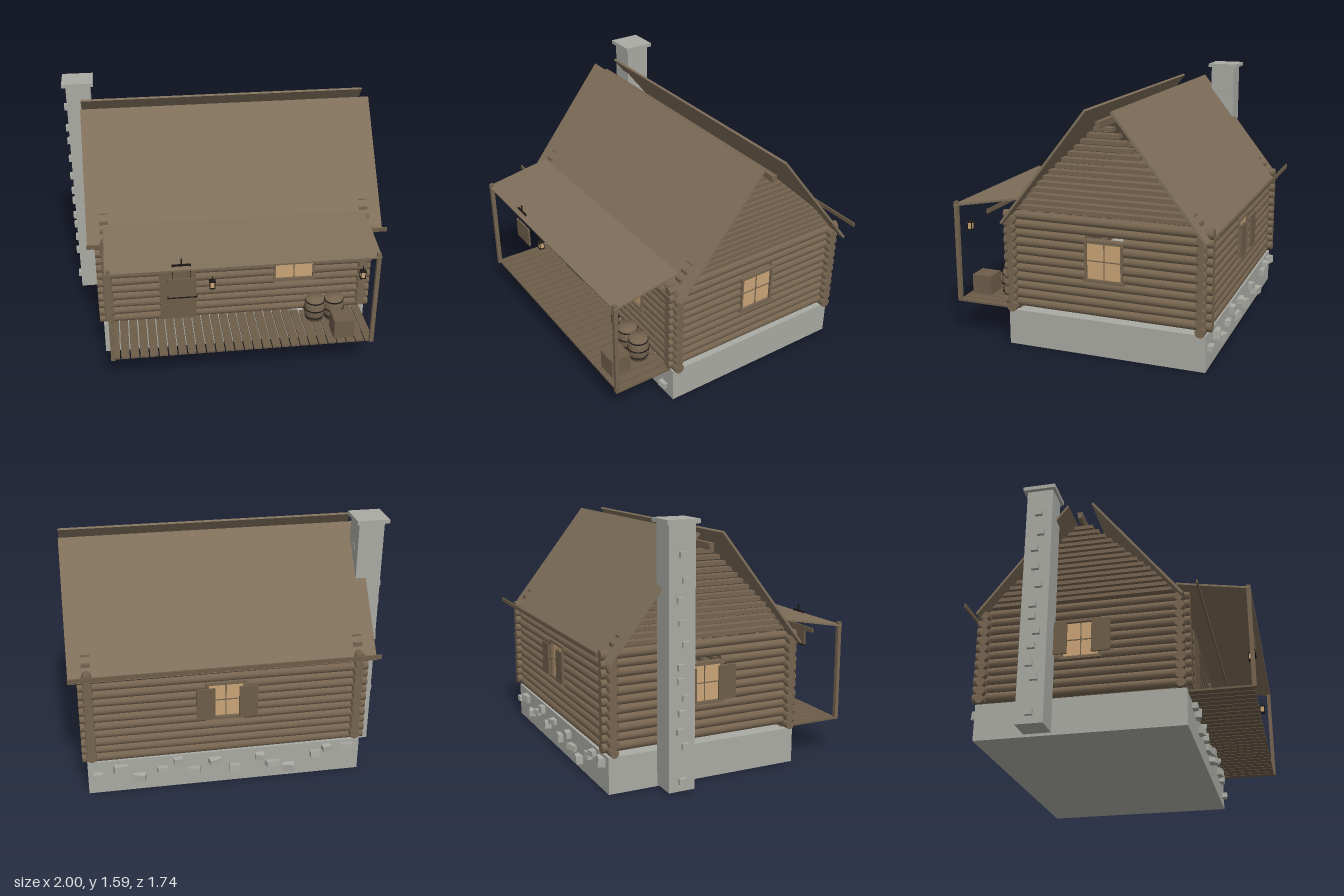
import * as THREE from 'three';

const mat = (name, color, side = THREE.FrontSide) => {
  const m = new THREE.MeshStandardMaterial({ color, side });
  m.name = name;
  return m;
};

export function createModel() {
  const stone = mat('stone', 0xaaaaa4);
  const logWood = mat('log wood', 0x75644f);
  const roofWood = mat('roof wood', 0x7f6f5a);
  const plankWood = mat('plank wood', 0x6d5d49);
  const iron = mat('iron', 0x1c1816);
  const glass = mat('warm glass', 0xc9a476);

  const model = new THREE.Group();
  model.name = 'logCabin';
  const group = (name, parent = model) => {
    const g = new THREE.Group();
    g.name = name;
    parent.add(g);
    return g;
  };
  const add = (parent, name, geometry, material, x, y, z) => {
    const m = new THREE.Mesh(geometry, material);
    m.name = name;
    m.position.set(x, y, z);
    parent.add(m);
    return m;
  };
  const box = (parent, name, material, w, h, d, x, y, z) =>
    add(parent, name, new THREE.BoxGeometry(w, h, d), material, x, y, z);

  const CX = 0.06, CZ = -0.147;            // centre of the house
  const LEFT = 0.89, RIGHT = -0.77;        // side wall centre lines
  const FRONT = 0.45, BACK = -0.745;       // front and back wall centre lines

  // Stone foundation with proud fieldstones on the front and back
  const base = group('foundation');
  box(base, 'foundationBlock', stone, 1.73, 0.225, 1.255, 0.055, 0.1125, -0.147);
  const frontStones = [[-0.6, 0.19], [-0.47, 0.19], [-0.36, 0.125], [-0.24, 0.19], [-0.125, 0.165], [0, 0.135],
    [0.125, 0.1], [0.235, 0.195], [0.34, 0.17], [0.465, 0.21], [0.58, 0.165], [0.715, 0.155], [0.83, 0.07]];
  const backStones = [[0.86, 0.135], [0.72, 0.17], [0.6, 0.1], [0.46, 0.14], [0.36, 0.19], [0.26, 0.11], [0.13, 0.17],
    [0, 0.1], [-0.16, 0.17], [-0.24, 0.11], [-0.35, 0.07], [-0.52, 0.15], [-0.59, 0.19], [-0.72, 0.18]];
  [[frontStones, 0.485], [backStones, -0.78]].forEach(([list, z]) => list.forEach(([x, y], i) => {
    const s = box(base, 'fieldstone', stone, 0.055 + 0.028 * ((i * 7) % 4) / 3, 0.035 + 0.016 * ((i * 5) % 3) / 2, 0.055, x, y, z);
    s.rotation.set(0.1 * Math.sin(i * 3), 0.3 * Math.sin(i * 2.3), 0.06 * Math.sin(i));
  }));

  // Chimney
  const chimney = group('chimney');
  box(chimney, 'chimneyStack', stone, 0.16, 1.56, 0.165, -0.895, 0.795, -0.385);
  box(chimney, 'chimneyCap', stone, 0.205, 0.025, 0.205, -0.8975, 1.582, -0.387);
  [0.08, 0.29, 0.38, 0.49, 0.58, 0.68, 0.76, 0.89, 1.015, 1.145, 1.256, 1.4].forEach((y, i) =>
    box(chimney, 'chimneyStone', stone, 0.04, 0.036, 0.045, -0.977, y, -0.385 + 0.02 * Math.sin(i * 2)));
  [1.27, 1.395].forEach(y => box(chimney, 'chimneyStone', stone, 0.02, 0.035, 0.045, -0.822, y, -0.385));

  // Log walls: each row is cut around the openings of its wall
  const ROWS = 11, STEP = 0.055;
  const log = (parent, along, a, b, offset, y, i) => {
    const r = i % 2 ? [0.031, 0.027] : [0.027, 0.031];
    const m = add(parent, 'log', new THREE.CylinderGeometry(r[0], r[1], b - a, 12), logWood, 0, y, 0);
    if (along === 'x') {
      m.rotation.z = Math.PI / 2;
      m.position.set((a + b) / 2, y, offset);
    } else {
      m.rotation.x = Math.PI / 2;
      m.position.set(offset, y, (a + b) / 2);
    }
  };
  const wall = (name, along, a, b, offset, y0, openings) => {
    const g = group(name);
    for (let i = 0; i < ROWS; i++) {
      const y = y0 + i * STEP;
      let start = a;
      openings.filter(o => y > o.y0 && y < o.y1).forEach(o => {
        log(g, along, start, o.a, offset, y, i);
        start = o.b;
      });
      log(g, along, start, b, offset, y, i);
    }
  };
  const sideHole = { a: -0.268, b: -0.03, y0: 0.465, y1: 0.735 };
  const backHole = { a: CX - 0.12, b: CX + 0.12, y0: 0.465, y1: 0.735 };
  const frontHole = { a: 0.305, b: 0.572, y0: 0.465, y1: 0.735 };
  const doorHole = { a: -0.44, b: -0.205, y0: 0, y1: 0.77 };
  wall('frontWall', 'x', -0.835, 0.948, FRONT, 0.252, [doorHole, frontHole]);
  wall('backWall', 'x', -0.835, 0.948, BACK, 0.252, [backHole]);
  wall('leftWall', 'z', -0.805, 0.507, LEFT, 0.277, [sideHole]);
  wall('rightWall', 'z', -0.805, 0.507, RIGHT, 0.277, [sideHole]);

  // Stepped gable boards, open between the rows
  [LEFT, RIGHT].forEach(x => {
    const g = group('gable');
    for (let i = 0; i < 14; i++)
      box(g, 'gableBoard', logWood, 0.055, 0.024, 2 * (0.585 - 0.0405 * i), x, 0.882 + 0.0386 * i, -0.149);
  });

  // Windows: glass, muntins, frame and optional shutters, built facing +z
  const windowUnit = (x, z, turn, w, shutters) => {
    const g = group('window');
    g.position.set(x, 0.595, z);
    g.rotation.y = turn;
    box(g, 'pane', glass, w - 0.012, 0.225, 0.012, 0, 0, 0);
    box(g, 'verticalMuntin', logWood, 0.006, 0.225, 0.02, 0, 0, 0);
    box(g, 'horizontalMuntin', logWood, w - 0.012, 0.006, 0.02, 0, 0, 0);
    [-1, 1].forEach(s => {
      box(g, 'frameSide', logWood, 0.012, 0.25, 0.045, s * (w / 2 - 0.004), 0, 0);
      box(g, 'frameRail', logWood, w + 0.02, 0.018, 0.05, 0, s * 0.12, 0);
      if (shutters) box(g, 'shutter', plankWood, 0.115, 0.21, 0.012, s * 0.132, 0, 0.048);
    });
  };
  windowUnit(0.438, FRONT + 0.012, 0, 0.265, false);
  windowUnit(CX - 0.005, BACK - 0.012, Math.PI, 0.235, true);
  windowUnit(LEFT + 0.012, CZ, Math.PI / 2, 0.235, false);
  windowUnit(RIGHT - 0.022, CZ, -Math.PI / 2, 0.235, true);

  // Door
  box(model, 'door', plankWood, 0.235, 0.545, 0.05, -0.3225, 0.4975, FRONT + 0.005);

  // Sloping slab between two (z, y) points
  const slab = (name, x0, x1, z0, y0, z1, y1, t) => {
    const m = box(model, name, roofWood, x1 - x0, t, Math.hypot(z1 - z0, y1 - y0), (x0 + x1) / 2, (y0 + y1) / 2, (z0 + z1) / 2);
    m.rotation.x = -Math.atan2(y1 - y0, z1 - z0);
  };
  slab('frontRoof', -0.88, 1, -0.075, 1.5, 0.48, 0.795, 0.014);
  slab('backRoof', -0.88, 1, -0.785, 0.795, -0.23, 1.5, 0.014);
  slab('porchRoof', -0.775, 0.888, 0.425, 0.921, 0.866, 0.842, 0.012);
  box(model, 'ridgeBeam', logWood, 1.88, 0.022, 0.032, CX, 1.43, -0.152);
  box(model, 'ridgeBeamLower', logWood, 1.88, 0.02, 0.024, CX, 1.41, -0.152);
  [0.565, -0.864].forEach(z => box(model, 'eaveRail', plankWood, 1.88, 0.026, 0.01, CX, 0.86, z));

  // Porch deck and posts
  const porch = group('porch');
  const PLANKS = 28, pitch = 1.66 / PLANKS;
  for (let i = 0; i < PLANKS; i++)
    box(porch, 'deckPlank', plankWood, pitch - 0.007, 0.012, 0.43, -0.77 + pitch * (i + 0.5), 0.222, 0.638);
  [-0.757, 0.872].forEach(x => box(porch, 'porchPost', logWood, 0.025, 0.65, 0.025, x, 0.541, 0.853));

  // Hanging blank board with iron bracket
  const sign = group('hangingBoard');
  box(sign, 'board', plankWood, 0.17, 0.13, 0.012, -0.32, 0.705, 0.838);
  box(sign, 'boardEdge', iron, 0.18, 0.008, 0.015, -0.32, 0.638, 0.838);
  box(sign, 'bracketBar', iron, 0.115, 0.01, 0.01, -0.322, 0.863, 0.836);
  box(sign, 'bracketStem', iron, 0.008, 0.045, 0.008, -0.322, 0.884, 0.836);
  [-0.375, -0.268].forEach(x => box(sign, 'hanger', iron, 0.004, 0.1, 0.004, x, 0.815, 0.838));

  // Porch lanterns
  [-0.135, 0.795].forEach(x => {
    const g = group('lantern');
    g.position.set(x, 0, 0.805);
    box(g, 'lanternGlass', glass, 0.027, 0.042, 0.027, 0, 0.694, 0);
    box(g, 'lanternBase', iron, 0.034, 0.007, 0.034, 0, 0.671, 0);
    const cap = add(g, 'lanternCap', new THREE.ConeGeometry(0.029, 0.02, 4).toNonIndexed(), iron, 0, 0.725, 0);
    cap.geometry.computeVertexNormals();
    cap.rotation.y = Math.PI / 4;
    box(g, 'lanternHook', iron, 0.005, 0.025, 0.005, 0, 0.737, 0);
    [-1, 1].forEach(sx => [-1, 1].forEach(sz =>
      box(g, 'lanternBar', iron, 0.004, 0.042, 0.004, sx * 0.014, 0.694, sz * 0.014)));
  });

  // Barrels and crate
  const profile = [[0, 0], [0.056, 0], [0.065, 0.045], [0.068, 0.08], [0.065, 0.115], [0.056, 0.16], [0, 0.16]]
    .map(p => new THREE.Vector2(...p));
  [[0.56, 0.582], [0.685, 0.582]].forEach(([x, z]) => {
    const g = group('barrel');
    g.position.set(x, 0.234, z);
    add(g, 'barrelBody', new THREE.LatheGeometry(profile, 18), logWood, 0, 0, 0);
    [[0.025, 0.063], [0.08, 0.07], [0.135, 0.063]].forEach(([y, r]) =>
      add(g, 'barrelHoop', new THREE.CylinderGeometry(r, r, 0.008, 18), iron, 0, y, 0));
  });
  box(model, 'crate', plankWood, 0.13, 0.125, 0.132, 0.702, 0.295, 0.757);

  return model;
}
